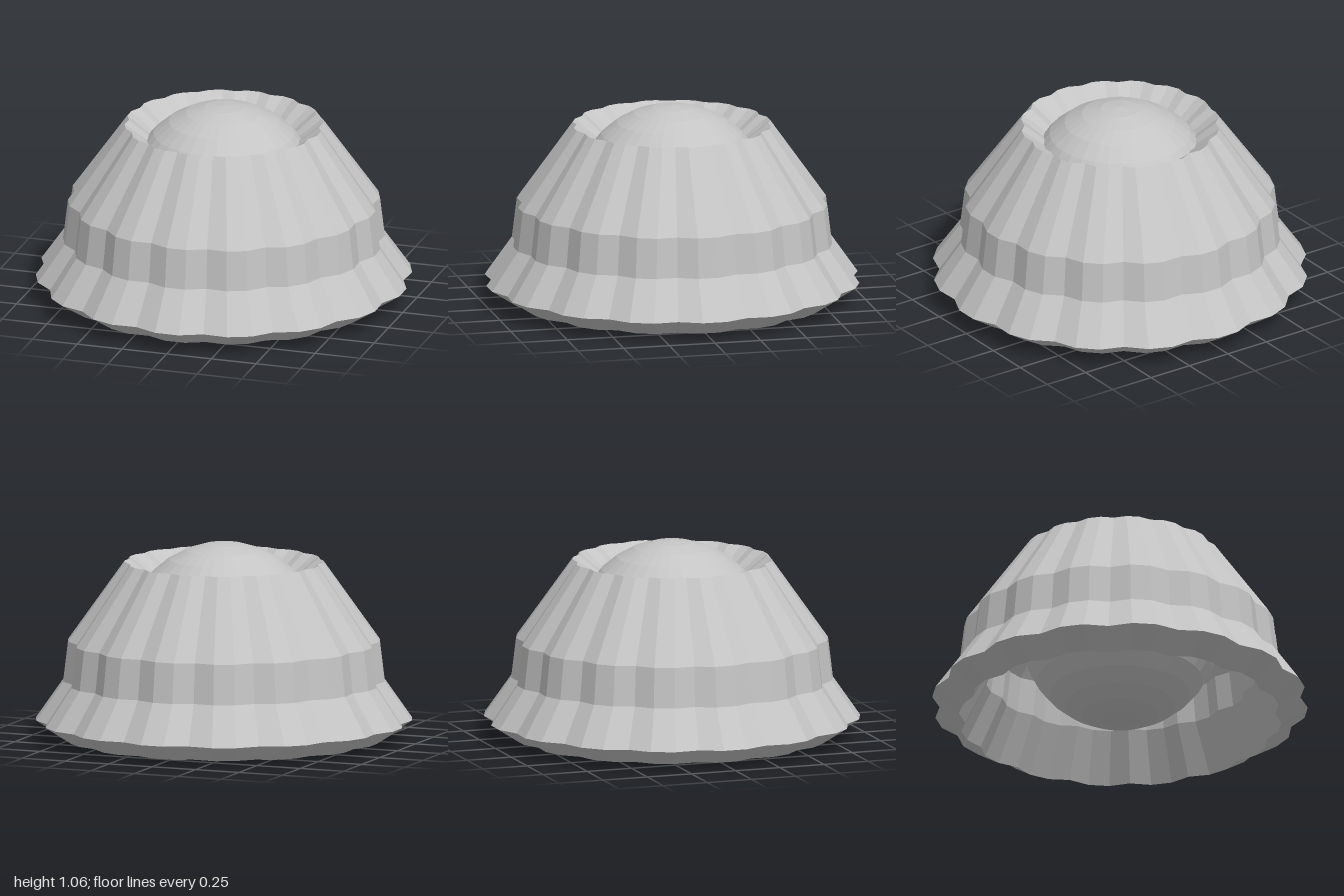
import * as THREE from 'three';

const LOBES = 16;
const SEGMENTS = LOBES * 3;

// Closed cross-section of the shell: outer wall upwards, inner wall back down
const PROFILE = [
  [0.86, 0.02], [1.002, 0.112], [0.857, 0.32], [0.831, 0.535], [0.53, 0.96],
  [0.41, 0.868], [0.7, 0.47], [0.725, 0.28], [0.86, 0.02],
];

// Revolve the profile, then ripple the radius into scallops
function scallopedShell() {
  const points = PROFILE.map(([r, y]) => new THREE.Vector2(r, y));
  const geometry = new THREE.LatheGeometry(points, SEGMENTS, Math.PI / SEGMENTS);
  const pos = geometry.attributes.position;
  for (let i = 0; i < pos.count; i++) {
    const angle = Math.atan2(pos.getX(i), pos.getZ(i));
    const k = 0.987 + 0.026 * Math.cos(LOBES * angle);
    pos.setX(i, pos.getX(i) * k);
    pos.setZ(i, pos.getZ(i) * k);
  }
  geometry.computeVertexNormals();
  return geometry;
}

export function createModel() {
  const model = new THREE.Group();
  model.name = 'scallopedShellWithBall';

  const grey = new THREE.MeshStandardMaterial({ color: 0xc4c4c4, flatShading: true });
  grey.name = 'light grey';

  const shell = new THREE.Mesh(scallopedShell(), grey);
  shell.name = 'scallopedShell';
  model.add(shell);

  // Ball held in the middle of the shell
  const ball = new THREE.Mesh(new THREE.SphereGeometry(0.532, 32, 16), grey);
  ball.name = 'innerBall';
  ball.position.y = 0.532;
  model.add(ball);

  return model;
}
